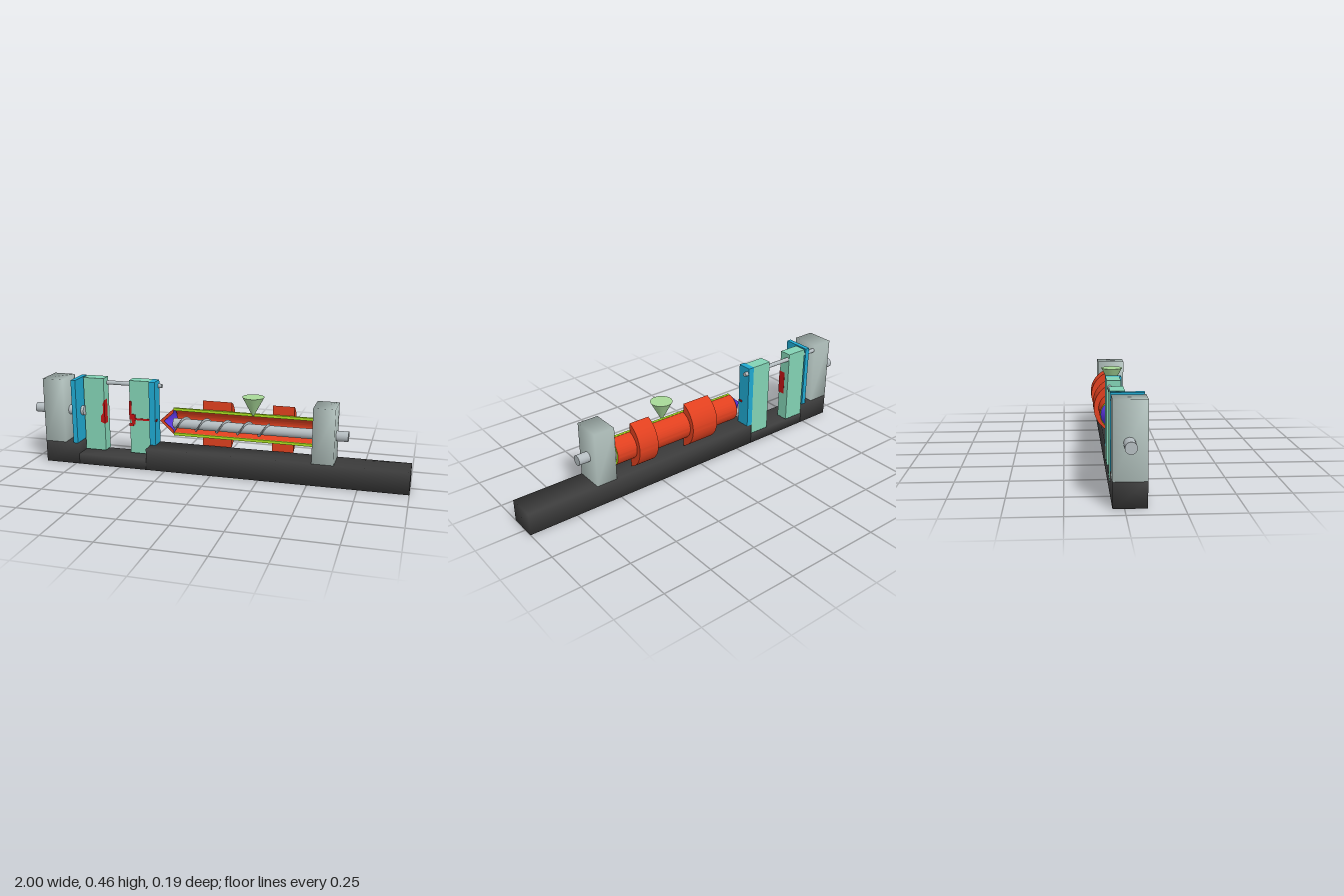
import * as THREE from 'three';
import { mergeVertices, toCreasedNormals } from 'three/addons/utils/BufferGeometryUtils.js';
import { ParametricGeometry } from 'three/addons/geometries/ParametricGeometry.js';

const mat = (color) => new THREE.MeshStandardMaterial({ color, side: THREE.DoubleSide });
const AXIS_Y = 0.248;   // height of the barrel and screw axis
const BARREL_Z = 0.003; // depth of the barrel axis

export function createModel() {
  const root = new THREE.Group();
  const steel = mat(0xb8c8c4), dark = mat(0x3c3c3c), blue = mat(0x1fa8d0), mint = mat(0x82d2b4);
  const red = mat(0xe0401f), lime = mat(0xa8e020), purple = mat(0x5a35e0), leaf = mat(0xa8d898);
  const plastic = mat(0xc01414), metal = mat(0xb4bcc0);

  const add = (name, geometry, material) => {
    const m = new THREE.Mesh(geometry, material);
    m.name = name;
    root.add(m);
    return m;
  };
  // Block given by its limits; soft blocks share normals round their corners
  const block = (name, material, [x0, x1], [y0, y1], [z0, z1], soft = false) => {
    let g = new THREE.BoxGeometry(x1 - x0, y1 - y0, z1 - z0);
    if (soft) {
      g.deleteAttribute('normal');
      g.deleteAttribute('uv');
      g = mergeVertices(g);
      g.computeVertexNormals();
    }
    g.translate((x0 + x1) / 2, (y0 + y1) / 2, (z0 + z1) / 2);
    return add(name, g, material);
  };
  // Round bar along x
  const bar = (name, material, x0, x1, y, z, r) => {
    const g = new THREE.CylinderGeometry(r, r, x1 - x0, 32).rotateZ(Math.PI / 2);
    return add(name, g.translate((x0 + x1) / 2, y, z), material);
  };
  // Cross-section (x = towards the back, y = up) swept along x
  const sweep = (name, shape, x0, x1, materials) => {
    let g = new THREE.ExtrudeGeometry(shape, { depth: x1 - x0, bevelEnabled: false, curveSegments: 32 });
    g = toCreasedNormals(g, 0.6);
    g.rotateY(Math.PI / 2).translate(x0, AXIS_Y, 0);
    return add(name, g, materials);
  };

  // Machine bed with its lowered section under the mould
  const depth = [-0.05, 0.097];
  block('bedLeft', dark, [-0.92, -0.73], [0, 0.115], depth, true);
  block('bedMiddle', dark, [-0.73, -0.35], [0, 0.055], depth, true);
  block('bedRight', dark, [-0.35, 1], [0, 0.115], depth, true);

  // Clamp unit
  block('clampBlock', steel, [-0.92, -0.805], [0.115, 0.457], depth, true);
  bar('clampRam', metal, -1, -0.72, 0.277, 0.02, 0.026);
  block('movingPlate', blue, [-0.76, -0.735], [0.115, 0.457], depth);
  block('fixedPlate', blue, [-0.353, -0.32], [0.115, 0.457], [-0.05, 0.025]);
  bar('tieRod', metal, -0.805, -0.3, 0.426, -0.037, 0.011);

  // Mould halves, cut open at the front
  const mouldZ = [-0.05, 0.015];
  block('movingMould', mint, [-0.725, -0.61], [0.06, 0.457], mouldZ);
  block('fixedMould', mint, [-0.465, -0.353], [0.06, 0.457], mouldZ);

  // Plastic in the cavity and the feed channel
  const core = new THREE.Shape();
  [[-0.609, 0.21], [-0.609, 0.34], [-0.618, 0.32], [-0.618, 0.27], [-0.632, 0.25], [-0.632, 0.22]]
    .forEach(([x, y], i) => (i ? core.lineTo(x, y) : core.moveTo(x, y)));
  add('cavityPart', new THREE.ExtrudeGeometry(core, { depth: 0.04, bevelEnabled: false }).translate(0, 0, -0.022), plastic);
  const plasticZ = [-0.02, 0.018];
  block('gateUpper', plastic, [-0.468, -0.455], [0.245, 0.345], plasticZ);
  block('gateLower', plastic, [-0.468, -0.445], [0.21, 0.225], plasticZ);
  block('runner', plastic, [-0.455, -0.435], [0.22, 0.275], plasticZ);
  block('sprue', plastic, [-0.45, -0.315], [0.244, 0.254], [0, 0.018]);

  // Barrel: rear half of a tube, lime on the cut faces and ends
  const R = 0.074, r = 0.061, H = Math.PI / 2;
  const half = new THREE.Shape();
  half.absarc(-BARREL_Z, 0, R, -H, H, false);
  half.absarc(-BARREL_Z, 0, r, H, -H, true);
  sweep('barrel', half, -0.225, 0.52, [lime, red]);
  for (const s of [1, -1]) {
    const y = AXIS_Y + s * (R + r) / 2;
    block('barrelCutFace', lime, [-0.225, 0.52], [y - 0.007, y + 0.007], [BARREL_Z - 0.012, BARREL_Z + 0.002]);
  }

  // Heater bands wrapped round the rear of the barrel
  for (const [x0, x1] of [[-0.07, 0.085], [0.3, 0.41]]) {
    const band = new THREE.Shape();
    band.absarc(-0.036, 0, 0.131, -1.187, 1.187, false);
    band.absarc(-BARREL_Z, 0, R, 1.356, -1.356, true);
    sweep('heaterBand', band, x0, x1, red);
  }

  // Nozzle: rear half of a cone, with a red rim on the cut
  const cone = new THREE.CylinderGeometry(0.001, 0.07, 0.075, 32, 1, true, H, Math.PI);
  cone.rotateZ(Math.PI / 2).translate(-0.2625, AXIS_Y, BARREL_Z);
  add('nozzle', cone, purple);
  const rim = new THREE.Shape([[-0.3, 0], [-0.225, -0.07], [-0.225, 0.07]].map((p) => new THREE.Vector2(...p)));
  rim.holes.push(new THREE.Path([[-0.278, 0], [-0.225, 0.047], [-0.225, -0.047]].map((p) => new THREE.Vector2(...p))));
  add('nozzleCutFace', new THREE.ShapeGeometry(rim).translate(0, AXIS_Y, BARREL_Z), red);

  // Screw with its helical flight
  bar('screwShaft', metal, -0.215, 0.69, AXIS_Y, 0.025, 0.026);
  const turns = 4.5, x0 = -0.21, length = 0.5;
  const flight = new ParametricGeometry((u, v, p) => {
    const a = u * turns * 2 * Math.PI, w = v * 2 * Math.PI;
    const rad = 0.028 + 0.01 * Math.cos(w);
    p.set(x0 + u * length + 0.005 * Math.sin(w), AXIS_Y - rad * Math.cos(a), 0.025 + rad * Math.sin(a));
  }, 160, 8);
  add('screwFlight', flight, metal);

  // Drive housing and feed hopper
  block('driveHousing', steel, [0.52, 0.63], [0.115, 0.4], depth, true);
  const hopper = new THREE.CylinderGeometry(0.056, 0.004, 0.098, 32);
  add('hopper', hopper.translate(0.203, 0.364, 0.011), leaf);

  return root;
}
